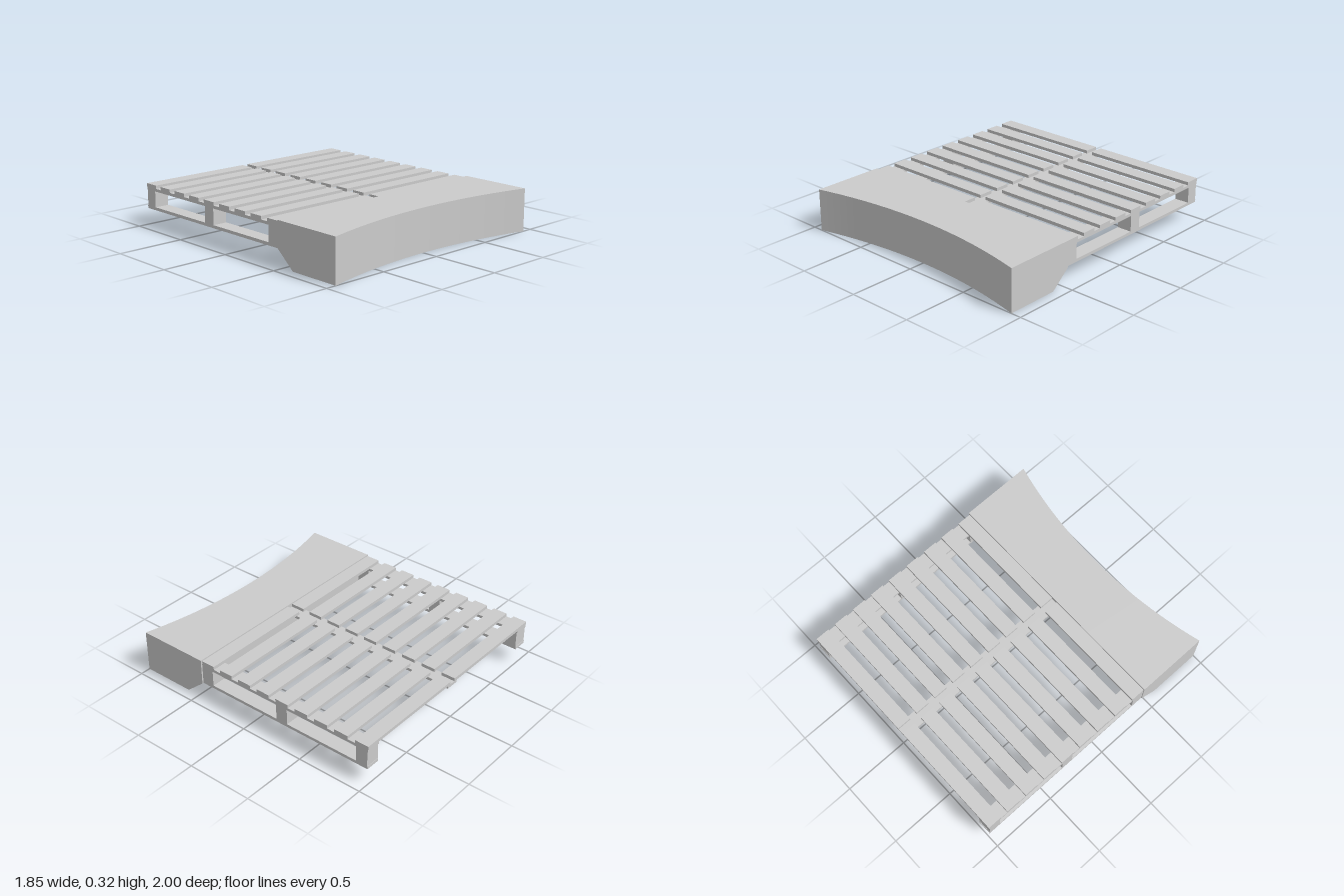
import * as THREE from 'three';

const material = new THREE.MeshStandardMaterial({ color: 0xcccccc, flatShading: true });

// Box given by its limits on each axis
function board(name, [x0, x1], [y0, y1], [z0, z1]) {
  const mesh = new THREE.Mesh(new THREE.BoxGeometry(x1 - x0, y1 - y0, z1 - z0), material);
  mesh.position.set((x0 + x1) / 2, (y0 + y1) / 2, (z0 + z1) / 2);
  mesh.name = name;
  return mesh;
}

// Solid end block: side profile swept across x, front face hollowed to an arc
function endBlock() {
  const half = 0.923, depth = 0.12;
  const radius = (half * half + depth * depth) / (2 * depth);
  const profile = new THREE.Shape([
    [0.455, 0.123], [0.6, 0], [1, 0], [1, 0.316], [0.455, 0.316],
  ].map(([z, y]) => new THREE.Vector2(z, y)));
  const geometry = new THREE.ExtrudeGeometry(profile, { depth: 2 * half, steps: 32, bevelEnabled: false });
  geometry.translate(0, 0, -half).rotateY(-Math.PI / 2);
  const p = geometry.attributes.position;
  for (let i = 0; i < p.count; i++) {
    if (p.getZ(i) > 0.99) {
      p.setZ(i, 1 - depth + radius - Math.sqrt(radius * radius - p.getX(i) ** 2));
    }
  }
  geometry.computeVertexNormals();
  const mesh = new THREE.Mesh(geometry, material);
  mesh.name = 'endBlock';
  return mesh;
}

export function createModel() {
  const model = new THREE.Group();
  model.name = 'palletPlatform';
  model.add(endBlock());

  // Deck slats in two columns with a gap along the middle
  const slats = new THREE.Group();
  slats.name = 'deckSlats';
  for (let i = 0; i < 9; i++) {
    const z = -1 + i * 0.168;
    for (const span of [[-0.918, -0.026], [0.021, 0.912]]) {
      slats.add(board('slat', span, [0.284, 0.308], [z, z + 0.109]));
    }
  }
  model.add(slats);

  // Stringers directly under the slats
  const sides = [[-0.918, -0.808], [0.802, 0.912]];
  for (const span of [...sides, [-0.055, 0.049]]) {
    model.add(board('stringer', span, [0.263, 0.284], [-0.998, 0.455]));
  }

  // Outer runners carried on spacer blocks
  for (const span of sides) {
    model.add(board('bottomRunner', span, [0.123, 0.145], [-0.996, 0.456]));
    for (const depth of [[-0.993, -0.902], [-0.318, -0.224], [0.357, 0.455]]) {
      model.add(board('spacerBlock', span, [0.145, 0.263], depth));
    }
  }
  return model;
}
